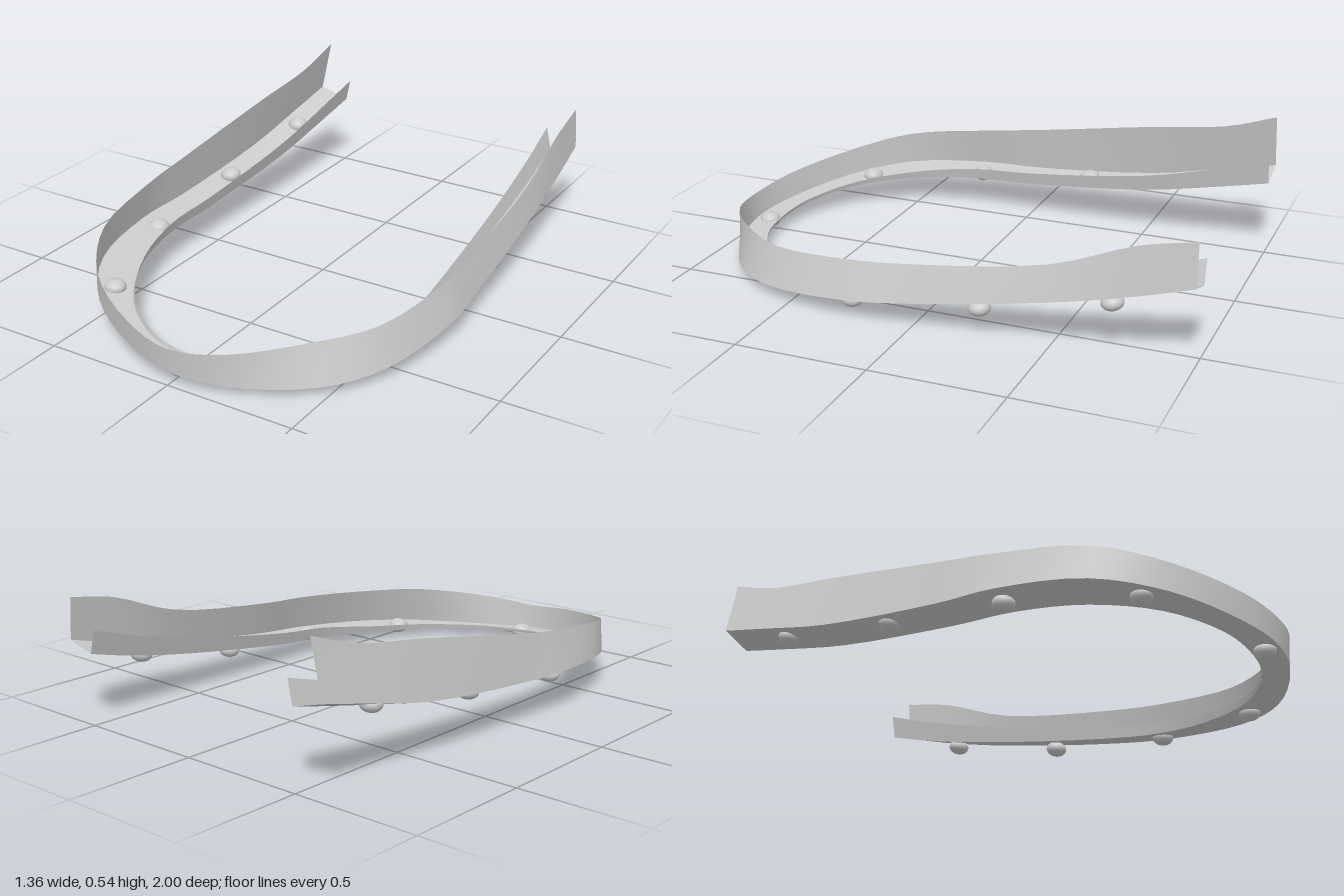
import * as THREE from 'three';

// Edge lines of the channel, from the back of the -x arm round the front to the back of the +x arm
const outerTop = [
  [-0.575, 0.535, -1], [-0.59, 0.47, -0.8], [-0.61, 0.425, -0.5], [-0.645, 0.34, 0], [-0.65, 0.305, 0.25],
  [-0.605, 0.265, 0.57], [-0.46, 0.21, 0.79], [-0.2, 0.165, 0.95], [0, 0.14, 0.995], [0.2, 0.155, 0.95],
  [0.43, 0.183, 0.77], [0.57, 0.19, 0.57], [0.637, 0.215, 0.25], [0.635, 0.235, 0], [0.62, 0.31, -0.5],
  [0.61, 0.42, -0.8], [0.6, 0.46, -1],
];
const outerBottom = [
  [-0.62, 0.325, -1], [-0.632, 0.28, -0.8], [-0.65, 0.215, -0.5], [-0.67, 0.165, 0], [-0.68, 0.155, 0.25],
  [-0.62, 0.135, 0.57], [-0.46, 0.1, 0.79], [-0.2, 0.063, 0.94], [0, 0.043, 0.985], [0.2, 0.03, 0.945],
  [0.47, 0.032, 0.79], [0.61, 0.045, 0.59], [0.68, 0.075, 0.25], [0.67, 0.1, 0], [0.645, 0.18, -0.5],
  [0.625, 0.245, -0.8], [0.612, 0.3, -1],
];
const innerBottom = [
  [-0.495, 0.29, -1], [-0.507, 0.245, -0.8], [-0.522, 0.185, -0.5], [-0.542, 0.135, 0], [-0.545, 0.125, 0.25],
  [-0.49, 0.112, 0.5], [-0.36, 0.088, 0.72], [-0.17, 0.06, 0.85], [0, 0.045, 0.877], [0.17, 0.033, 0.85],
  [0.37, 0.028, 0.71], [0.49, 0.033, 0.49], [0.548, 0.052, 0.25], [0.542, 0.077, 0], [0.523, 0.155, -0.5],
  [0.51, 0.215, -0.8], [0.5, 0.268, -1],
];
const lipHeight = [0.09, 0.08, 0.065, 0.05, 0.045, 0.03, 0.02, 0.015, 0.012, 0.015, 0.02, 0.03, 0.045, 0.05, 0.065, 0.08, 0.09];

// The lip leans slightly in toward the opening
const innerTop = innerBottom.map(([x, y, z], i) => {
  const h = lipHeight[i];
  return [x * (1 - h * 0.45), y + h, z > 0.4 ? z - h * 0.25 : z];
});

const STEPS = 64;
const sample = (pts) => {
  const curve = new THREE.CatmullRomCurve3(pts.map((p) => new THREE.Vector3(...p)));
  return Array.from({ length: STEPS + 1 }, (_, i) => curve.getPoint(i / STEPS));
};

// Thin ribbon joining two edge lines
function ribbon(name, edgeA, edgeB, material) {
  const a = sample(edgeA), b = sample(edgeB);
  const pos = [], index = [];
  for (let i = 0; i <= STEPS; i++) {
    pos.push(...a[i].toArray(), ...b[i].toArray());
    if (i < STEPS) {
      const k = i * 2;
      index.push(k, k + 1, k + 2, k + 1, k + 3, k + 2);
    }
  }
  const geo = new THREE.BufferGeometry();
  geo.setAttribute('position', new THREE.Float32BufferAttribute(pos, 3));
  geo.setIndex(index);
  geo.computeVertexNormals();
  const mesh = new THREE.Mesh(geo, material);
  mesh.name = name;
  return mesh;
}

export function createModel() {
  const group = new THREE.Group();
  group.name = 'curvedChannel';
  const sheet = new THREE.MeshStandardMaterial({ color: 0xcccccc, side: THREE.DoubleSide });
  const solid = new THREE.MeshStandardMaterial({ color: 0xcccccc });

  // Tall outer wall, floor and low inner lip
  group.add(
    ribbon('outerWall', outerTop, outerBottom, sheet),
    ribbon('floor', outerBottom, innerBottom, sheet),
    ribbon('innerLip', innerBottom, innerTop, sheet),
  );

  // Flattened studs set through the floor: x, y, z, forward tilt
  const studs = [
    [-0.575, 0.247, -0.72, 0.2], [-0.6, 0.178, -0.24, 0.13], [-0.61, 0.13, 0.24, 0.06], [-0.467, 0.106, 0.69, 0],
    [0.005, 0.038, 0.93, 0],
    [0.485, 0.03, 0.67, 0], [0.62, 0.06, 0.24, 0.08], [0.6, 0.098, -0.24, 0.14], [0.575, 0.19, -0.71, 0.2],
  ];
  const studGeo = new THREE.SphereGeometry(1, 24, 14);
  studs.forEach(([x, y, z, tilt], i) => {
    const stud = new THREE.Mesh(studGeo, solid);
    stud.scale.set(0.041, 0.03, 0.041);
    stud.position.set(x, y, z);
    stud.rotation.x = tilt;
    stud.name = `stud${i + 1}`;
    group.add(stud);
  });
  return group;
}
